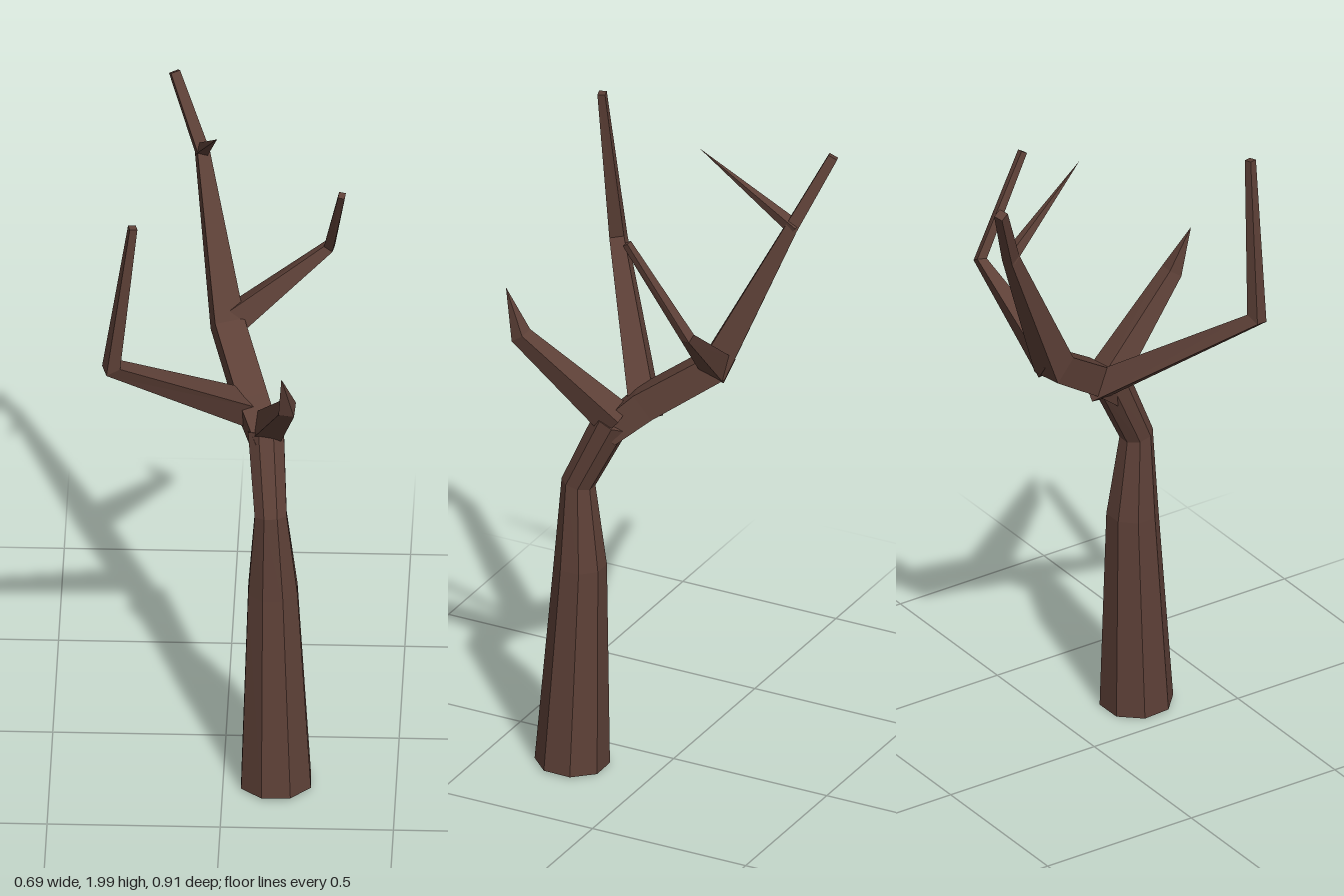
import * as THREE from 'three';

const bark = new THREE.MeshStandardMaterial({ color: 0x5d4037, flatShading: true });

// Loft a faceted limb through stations [x, y, z, radius]; rings mitre at the bends.
function limb(name, sides, roll, stations) {
  const centres = stations.map(([x, y, z]) => new THREE.Vector3(x, y, z));
  const last = centres.length - 1;
  const dirs = centres.slice(1).map((c, k) => c.clone().sub(centres[k]).normalize());
  const ref = new THREE.Vector3(0, 1, 0).cross(dirs[0]);
  if (ref.length() < 0.2) ref.set(1, 0, 0);

  const rings = centres.map((c, k) => {
    const t = dirs[Math.max(k - 1, 0)].clone().add(dirs[Math.min(k, last - 1)]).normalize();
    const u = ref.clone().addScaledVector(t, -ref.dot(t)).normalize();
    const v = t.clone().cross(u);
    return Array.from({ length: sides }, (_, i) => {
      const a = roll + (i / sides) * Math.PI * 2;
      return c.clone()
        .addScaledVector(u, Math.cos(a) * stations[k][3])
        .addScaledVector(v, Math.sin(a) * stations[k][3]);
    });
  });

  const points = [];
  for (let i = 0; i < sides; i++) {
    const j = (i + 1) % sides;
    for (let k = 0; k < last; k++) {
      const [a, b, c, d] = [rings[k][i], rings[k][j], rings[k + 1][j], rings[k + 1][i]];
      points.push(a, b, d);
      if (stations[k + 1][3] > 0) points.push(b, c, d);
    }
    points.push(centres[0], rings[0][j], rings[0][i]);
    if (stations[last][3] > 0) points.push(centres[last], rings[last][i], rings[last][j]);
  }
  const geometry = new THREE.BufferGeometry().setFromPoints(points);
  geometry.computeVertexNormals();
  const mesh = new THREE.Mesh(geometry, bark);
  mesh.name = name;
  return mesh;
}

export function createModel() {
  const tree = new THREE.Group();
  tree.name = 'bareTree';
  tree.add(
    // Octagonal trunk, leaning back above the bend
    limb('trunk', 8, 0.42, [
      [0.153, 0, 0.25, 0.109],
      [0.143, 0.64, 0.229, 0.077],
      [0.137, 0.9, 0.238, 0.05],
      [0.12, 1.12, 0.135, 0.056],
    ]),
    // Main branch sweeping backward and up to a blunt tip
    limb('mainBranch', 4, 0.6, [
      [0.124, 1.08, 0.15, 0.056],
      [0.075, 1.17, 0.055, 0.063],
      [0.0, 1.31, -0.14, 0.062],
      [-0.08, 1.77, -0.345, 0.026],
      [-0.163, 1.98, -0.435, 0.02],
    ]),
    // Thin twig pointing forward near the top
    limb('topTwig', 4, 0.5, [
      [-0.08, 1.765, -0.355, 0.024],
      [-0.028, 1.98, -0.07, 0],
    ]),
    // Side branch on the left, bent up and forward
    limb('leftBranch', 4, 0.5, [
      [0.0, 1.305, -0.145, 0.055],
      [0.292, 1.542, -0.2, 0.021],
      [0.334, 1.825, -0.024, 0.014],
    ]),
    // Long side branch on the right, bent upright
    limb('rightBranch', 4, 0.4, [
      [0.075, 1.14, 0.05, 0.056],
      [-0.32, 1.46, 0.35, 0.031],
      [-0.257, 1.95, 0.37, 0.016],
    ]),
    // Short front branch ending in a point
    limb('frontBranch', 4, 0.5, [
      [0.125, 1.12, 0.12, 0.058],
      [0.19, 1.36, 0.398, 0.032],
      [0.175, 1.495, 0.455, 0],
    ]),
  );
  return tree;
}
